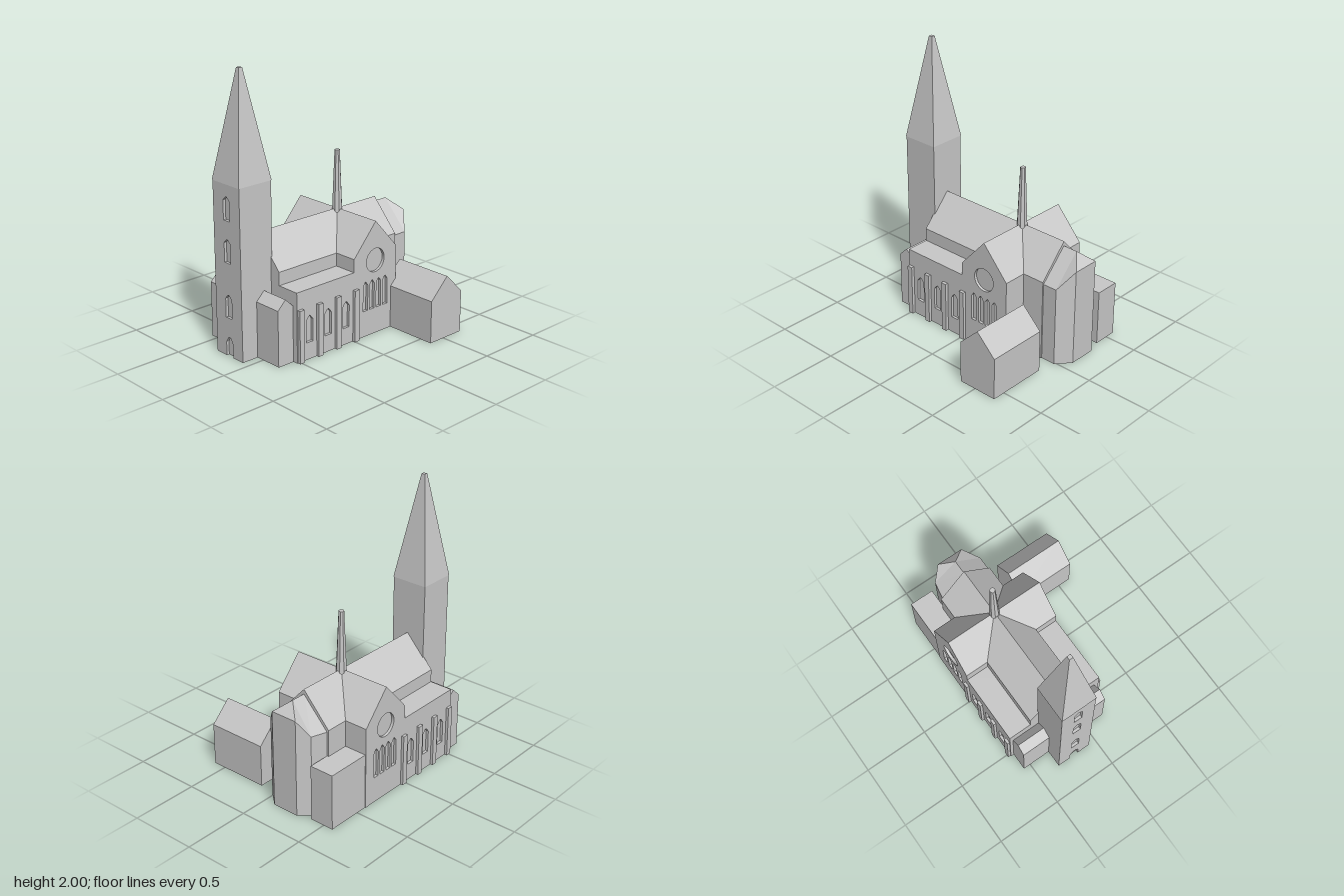
import * as THREE from 'three';

const stone = new THREE.MeshStandardMaterial({ color: 0xc8c8c8 });
stone.name = 'stone';
const MID = -0.19; // z of the main axis

const toShape = (pts) => new THREE.Shape(pts.map(([x, y]) => new THREE.Vector2(x, y)));
const extrude = (shape, depth) =>
  new THREE.ExtrudeGeometry(shape, { depth, bevelEnabled: false, curveSegments: 32 });

function flat(geometry) {
  const g = geometry.index ? geometry.toNonIndexed() : geometry;
  g.computeVertexNormals();
  return g;
}

// Pointed window outline
function lancet(x, w, bottom, spring, top) {
  return [[x - w, bottom], [x + w, bottom], [x + w, spring], [x + w * 0.35, top - 0.008],
    [x, top], [x - w * 0.35, top - 0.008], [x - w, spring]];
}

// House-shaped end profile, centred on 0
const gable = (half, eave, ridge) =>
  toShape([[-half, 0], [half, 0], [half, eave], [0, ridge], [-half, eave]]);

// Polygons given as corner lists, counter-clockwise from outside
function polygons(faces) {
  const pos = [];
  for (const f of faces)
    for (let i = 1; i < f.length - 1; i++) pos.push(...f[0], ...f[i], ...f[i + 1]);
  const g = new THREE.BufferGeometry();
  g.setAttribute('position', new THREE.Float32BufferAttribute(pos, 3));
  return flat(g);
}

export function createModel() {
  const model = new THREE.Group();
  model.name = 'church';

  function add(name, geometry) {
    const mesh = new THREE.Mesh(geometry, stone);
    mesh.name = name;
    model.add(mesh);
    return mesh;
  }
  const box = (name, x0, x1, y0, y1, z0, z1) =>
    add(name, new THREE.BoxGeometry(x1 - x0, y1 - y0, z1 - z0)
      .translate((x0 + x1) / 2, (y0 + y1) / 2, (z0 + z1) / 2));
  const hallAlongZ = (name, x, half, eave, ridge, z0, z1) =>
    add(name, extrude(gable(half, eave, ridge), z1 - z0).translate(x, 0, z0));
  const hallAlongX = (name, z, half, eave, ridge, x0, x1) =>
    add(name, extrude(gable(half, eave, ridge), x1 - x0).rotateY(Math.PI / 2).translate(x0, 0, z));

  // Main volumes
  hallAlongX('nave', MID, 0.213, 0.612, 0.845, -0.525, 0.59);
  box('aisles', -0.525, 0.01, 0, 0.515, -0.56, 0.18);
  hallAlongZ('transept', 0.212, 0.207, 0.612, 0.845, -0.56, 0.18);
  hallAlongZ('westPorch', -0.59, 0.067, 0.41, 0.475, -0.555, 0.16);
  hallAlongZ('chapel', 0.522, 0.153, 0.315, 0.465, 0.14, 0.597);
  box('sacristy', 0.41, 0.755, 0, 0.415, -0.575, -0.39);

  // Side facades with recessed windows
  const facade = toShape([[-0.525, 0], [0.419, 0], [0.419, 0.612], [0.212, 0.845],
    [0.005, 0.612], [0.005, 0.515], [-0.525, 0.515]]);
  for (const x of [-0.41, -0.24, -0.07])
    facade.holes.push(toShape(lancet(x, 0.03, 0.125, 0.288, 0.322)));
  for (const x of [0.118, 0.182, 0.246, 0.31])
    facade.holes.push(toShape(lancet(x, 0.022, 0.195, 0.385, 0.415)));
  const rose = new THREE.Path();
  rose.absarc(0.212, 0.555, 0.087, 0, Math.PI * 2, true);
  facade.holes.push(rose);
  add('frontFacade', extrude(facade, 0.02).translate(0, 0, 0.18));
  add('backFacade', extrude(facade, 0.02).translate(0, 0, -0.58));

  // Buttresses on both sides
  for (const x of [-0.497, -0.326, -0.156, 0.016]) {
    box('frontButtress', x - 0.021, x + 0.021, 0, 0.387, 0.19, 0.223);
    box('backButtress', x - 0.021, x + 0.021, 0, 0.387, -0.6, -0.57);
  }

  // Apse: walls follow the plan, roof gathers at a short ridge
  const plan = [[0.585, 0.015, 0.595], [0.7, 0.015, 0.595], [0.787, -0.085, 0.725],
    [0.787, -0.29, 0.725], [0.722, -0.367, 0.61], [0.585, -0.39, 0.595]];
  const low = plan.map(([x, z]) => [x, 0, z]);
  const top = plan.map(([x, z, y]) => [x, y, z]);
  const r0 = [0.585, 0.81, MID], r1 = [0.7, 0.81, MID];
  const walls = [];
  for (let i = 0; i < 5; i++) walls.push([low[i], low[i + 1], top[i + 1], top[i]]);
  add('apse', polygons([...walls,
    [...low].reverse(),
    [low[5], low[0], top[0], r0, top[5]],
    [top[0], top[1], r1, r0], [top[1], top[2], r1], [top[2], top[3], r1],
    [top[3], top[4], r1], [top[4], top[5], r0, r1]]));

  // Tower with recessed west windows and a door
  const tx = -0.65, tz = -0.196, th = 0.137;
  box('tower', tx - th + 0.02, tx + th, 0, 1.24, tz - th, tz + th);
  const west = toShape([[-th, 0], [-0.035, 0], [-0.035, 0.1], [-0.012, 0.14], [0.012, 0.14],
    [0.035, 0.1], [0.035, 0], [th, 0], [th, 1.24], [-th, 1.24]]);
  for (const y of [0.37, 0.77, 1.07])
    west.holes.push(toShape(lancet(0, 0.032, y - 0.085, y + 0.055, y + 0.085)));
  add('towerWestWall', extrude(west, 0.02).rotateY(-Math.PI / 2).translate(tx - th + 0.02, 0, tz));

  // Spires
  const r2 = Math.SQRT2;
  add('towerSpire', flat(new THREE.CylinderGeometry(0.014 * r2, 0.14 * r2, 0.76, 4)
    .rotateY(Math.PI / 4).translate(tx, 1.62, tz)));
  add('crossingSpire', flat(new THREE.CylinderGeometry(0.02, 0.042, 0.535, 8)
    .rotateY(Math.PI / 8).translate(0.212, 1.01, MID)));

  return model;
}
